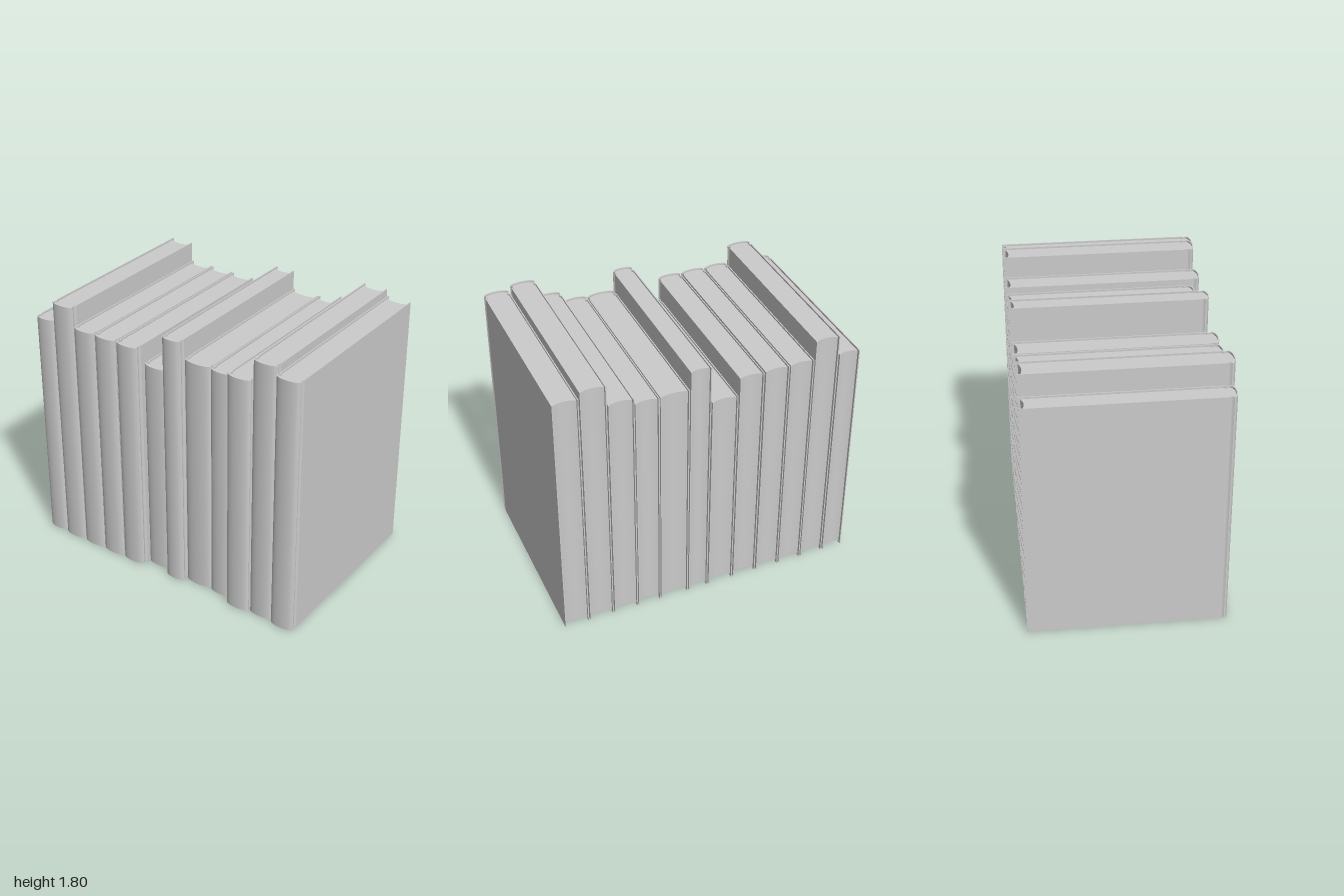
import * as THREE from 'three';
import { toCreasedNormals } from 'three/addons/utils/BufferGeometryUtils.js';

const BACK = -0.65;   // rear edge of every cover
const BOARD = 0.007;  // cover thickness
const INSET = 0.012;  // page block recess at top and bottom

// left edge x, right edge x, height, front of the spine z
const BOOKS = [
  [-1.0, -0.86, 1.6, 0.62], [-0.85, -0.69, 1.74, 0.63], [-0.683, -0.523, 1.61, 0.63],
  [-0.515, -0.355, 1.61, 0.63], [-0.345, -0.185, 1.61, 0.63], [-0.176, -0.005, 1.485, 0.57],
  [0.004, 0.138, 1.745, 0.62], [0.145, 0.333, 1.62, 0.585], [0.339, 0.492, 1.62, 0.59],
  [0.498, 0.66, 1.66, 0.645], [0.668, 0.83, 1.8, 0.63], [0.838, 1.0, 1.755, 0.65],
];

// Plan outline from the right rear corner, round the spine, to the left rear corner
function coverOutline(w, front, back) {
  const side = [[w, back], [w, front - 0.062], [w - 0.006, front - 0.054],
    [w - 0.008, front - 0.046], [w - 0.006, front - 0.038]];
  const pts = side.map(([x, z]) => new THREE.Vector2(x, z));
  const n = 18;
  for (let i = 0; i <= n; i++) {
    const a = (i / n) * Math.PI;
    pts.push(new THREE.Vector2(w * Math.cos(a), front - 0.028 + 0.028 * Math.sin(a)));
  }
  for (const [x, z] of side.reverse()) pts.push(new THREE.Vector2(-x, z));
  return pts;
}

// Stand a plan shape upright between y0 and y1
function upright(points, y0, y1) {
  const geo = new THREE.ExtrudeGeometry(new THREE.Shape(points), { depth: y1 - y0, bevelEnabled: false });
  geo.rotateX(Math.PI / 2).translate(0, y1, 0);
  return toCreasedNormals(geo, 0.6);
}

function createBook([x0, x1, height, front], material) {
  const book = new THREE.Group();
  const w = (x1 - x0) / 2;

  // Cover: two boards joined by a rounded spine with hinge grooves
  const outer = coverOutline(w, front, BACK);
  const inner = coverOutline(w - BOARD, front - BOARD, BACK).reverse();
  const cover = new THREE.Mesh(upright([...outer, ...inner], 0, height), material);
  cover.name = 'cover';

  // Page block: fills the cover, with a hollow fore edge at the rear
  const pw = w - BOARD;
  const block = coverOutline(pw, front - BOARD, -0.633);
  for (let i = 1; i < 12; i++) {
    const u = -1 + i / 6;
    block.push(new THREE.Vector2(u * pw, -0.633 + 0.017 * (1 - u * u)));
  }
  const pages = new THREE.Mesh(upright(block, INSET, height - INSET), material);
  pages.name = 'pages';

  book.add(cover, pages);
  book.position.x = (x0 + x1) / 2;
  return book;
}

export function createModel() {
  const model = new THREE.Group();
  model.name = 'bookRow';
  const material = new THREE.MeshStandardMaterial({ color: 0xcccccc });
  BOOKS.forEach((spec, i) => {
    const book = createBook(spec, material);
    book.name = `book${i + 1}`;
    model.add(book);
  });
  return model;
}
